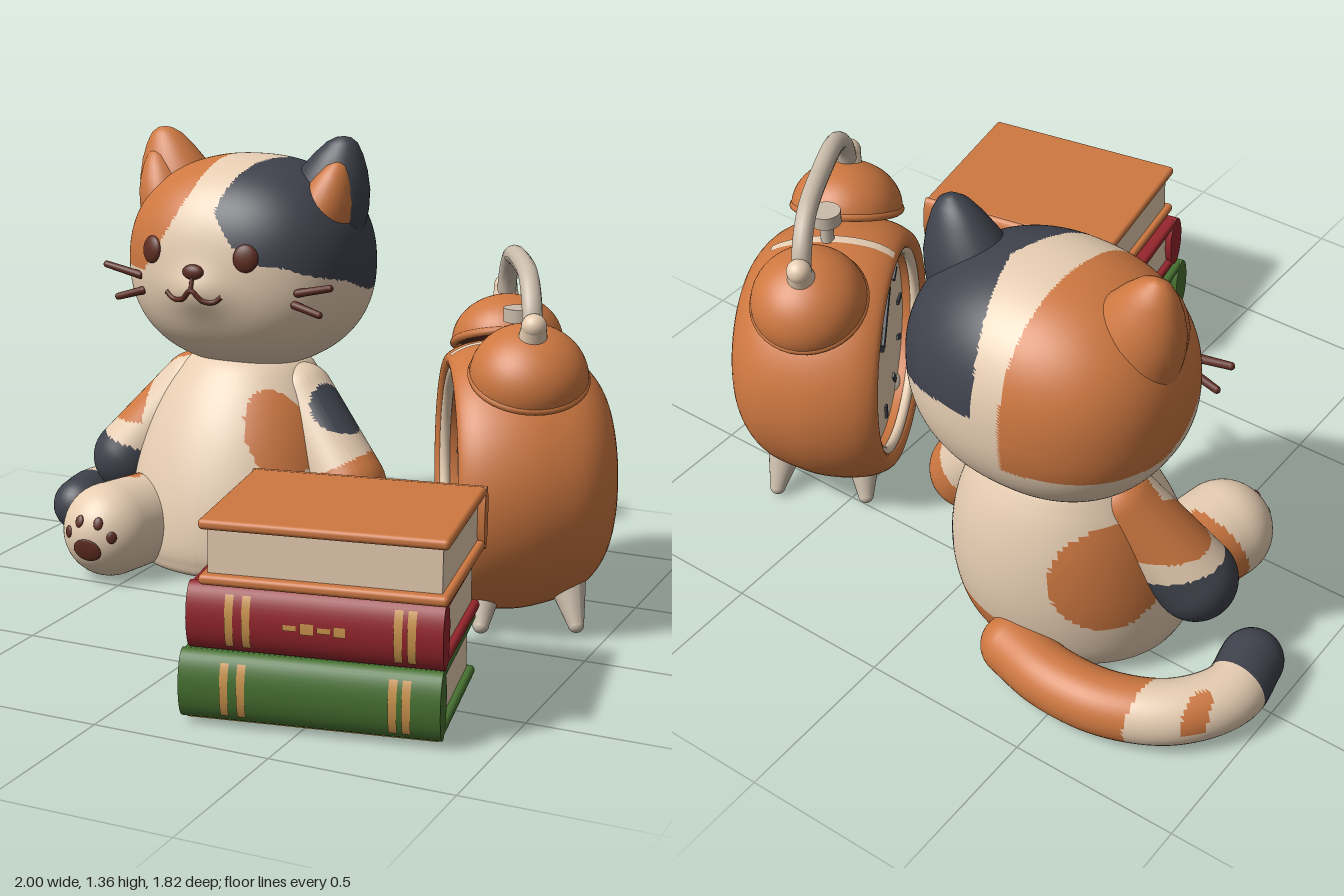
import * as THREE from 'three';
import { RoundedBoxGeometry } from 'three/addons/geometries/RoundedBoxGeometry.js';

const V = (x, y, z) => new THREE.Vector3(x, y, z);
const mat = (name, color, side = THREE.FrontSide) => {
  const m = new THREE.MeshStandardMaterial({ color, side });
  m.name = name;
  return m;
};

export function createModel() {
  const cream = mat('cream', 0xeed4b8), orange = mat('orange', 0xce7841, THREE.DoubleSide);
  const navy = mat('navy', 0x3f424c), brown = mat('brown', 0x5e2d22);
  const red = mat('red', 0x96262d), green = mat('green', 0x477231);
  const gold = mat('gold', 0xcc964e, THREE.DoubleSide), metal = mat('metal', 0xcabcab);
  const olive = mat('olive', 0xae8437);
  const coat = [cream, orange, navy];

  const add = (parent, name, geo, material, pos = [0, 0, 0], rot = [0, 0, 0]) => {
    const m = new THREE.Mesh(geo, material);
    m.name = name;
    m.position.set(...pos);
    m.rotation.set(...rot);
    parent.add(m);
    return m;
  };
  const group = (parent, name) => {
    const g = new THREE.Group();
    g.name = name;
    parent.add(g);
    return g;
  };
  // Sort triangles into coat colours: rule(centroid) returns 0 cream, 1 orange, 2 navy
  const painted = (parent, name, geo, rule) => {
    const sets = [[], [], []], p = geo.attributes.position, ix = geo.index.array;
    for (let i = 0; i < ix.length; i += 3) {
      const c = V(0, 0, 0), t = [ix[i], ix[i + 1], ix[i + 2]];
      t.forEach(k => c.add(V(p.getX(k), p.getY(k), p.getZ(k))));
      sets[rule(c.divideScalar(3))].push(...t);
    }
    geo.setIndex(sets.flat());
    geo.clearGroups();
    let start = 0;
    sets.forEach((s, i) => { if (s.length) geo.addGroup(start, s.length, i); start += s.length; });
    return add(parent, name, geo, coat);
  };
  const warp = (geo, fn) => {
    const p = geo.attributes.position, v = V(0, 0, 0);
    for (let i = 0; i < p.count; i++) { fn(v.fromBufferAttribute(p, i)); p.setXYZ(i, v.x, v.y, v.z); }
    geo.computeVertexNormals();
    return geo;
  };
  // Tapered round-ended limb from a to b
  const limb = (a, b, ra, rb, sides = 56, rows = 34) => {
    const d = b.clone().sub(a), len = d.length();
    const geo = warp(new THREE.CapsuleGeometry(1, len, 14, sides, rows), v => {
      const h = THREE.MathUtils.clamp(v.y, -len / 2, len / 2), r = THREE.MathUtils.lerp(ra, rb, h / len + 0.5);
      v.set(v.x * r, h + (v.y - h) * r, v.z * r);
    });
    geo.applyQuaternion(new THREE.Quaternion().setFromUnitVectors(V(0, 1, 0), d.normalize()));
    return geo.translate((a.x + b.x) / 2, (a.y + b.y) / 2, (a.z + b.z) / 2);
  };
  const tube = (pts, r, n = 32) => new THREE.TubeGeometry(new THREE.CatmullRomCurve3(pts), n, r, 12);
  // Flattened button lying on a surface
  const button = (parent, name, material, pos, normal, rx, ry, t = 0.007) => {
    const m = add(parent, name, new THREE.SphereGeometry(1, 20, 14).scale(rx, ry, t), material, pos.toArray());
    m.quaternion.setFromUnitVectors(V(0, 0, 1), normal.normalize());
  };

  const root = new THREE.Group();
  root.name = 'catClockAndBooks';

  // ---- Cat ----
  const cat = group(root, 'cat'), hx = -0.305;

  // Head: soft super-ellipsoid with a small muzzle bulge
  const C = V(hx, 0.95, -0.55), R = V(0.395, 0.335, 0.33), P = 2.25;
  const muzzle = (x, y) => 0.03 * Math.exp(-(((x + 0.34) / 0.1) ** 2) - ((y - 0.895) / 0.07) ** 2);
  const faceZ = (x, y) => C.z + muzzle(x, y) + R.z * Math.max(0,
    1 - Math.abs((x - C.x) / R.x) ** P - Math.abs((y - C.y) / R.y) ** P) ** (1 / P);
  const face = (x, y, lift = 0) => V(x, y, faceZ(x, y) + lift);
  const faceNormal = (x, y) => V((faceZ(x - 0.01, y) - faceZ(x + 0.01, y)) / 0.02,
    (faceZ(x, y - 0.01) - faceZ(x, y + 0.01)) / 0.02, 1);
  const headGeo = warp(new THREE.SphereGeometry(1, 190, 120), v => {
    const k = (Math.abs(v.x) ** P + Math.abs(v.y) ** P + Math.abs(v.z) ** P) ** (-1 / P);
    v.multiplyScalar(k).multiply(R).add(C);
    if (v.z > C.z) v.z += muzzle(v.x, v.y);
  });
  painted(cat, 'head', headGeo, p => {
    const front = THREE.MathUtils.smoothstep(p.z, -0.6, -0.4), mix = (a, b) => a + (b - a) * front;
    const seam = mix(-0.37, -0.38 - 0.16 * (Math.max(0, 1.27 - p.y) / 0.32) ** 1.5);
    if (p.x < seam && p.y > mix(0.84, 0.94)) return 1;
    const frontLow = 0.985 + 4 * Math.max(0, -0.1 - p.x) ** 2 - 0.35 * Math.max(0, p.x + 0.08);
    const backLow = 0.88 + 0.5 * Math.max(0, -0.68 - p.z);
    const edge = -0.2 - 0.3 * Math.abs(p.z + 0.58);
    return p.x > edge && p.y > mix(backLow, frontLow) ? 2 : 0;
  });

  // Ears: cones leaning outwards
  const earProfile = [[0.158, -0.04], [0.15, 0.04], [0.135, 0.1], [0.108, 0.16], [0.078, 0.21], [0.05, 0.245], [0.024, 0.261], [0, 0.265]]
    .map(a => new THREE.Vector2(...a));
  for (const s of [-1, 1]) {
    const ear = group(cat, s < 0 ? 'rightEar' : 'leftEar');
    ear.position.set(hx + s * 0.228, 1.092, -0.55);
    const cone = (w, h, d) => warp(new THREE.LatheGeometry(earProfile, 40).scale(w, h, d), v => { v.x += s * 0.32 * v.y; });
    add(ear, 'earShell', cone(1, 1, 0.78), s < 0 ? orange : navy);
    add(ear, 'innerEar', cone(0.7, 0.78, 0.76), orange, [s * 0.022, -0.01, 0.045]);
  }

  // Eyes, nose, mouth and whiskers
  for (const x of [-0.51, -0.175]) button(cat, 'eye', brown, face(x, 1.01), faceNormal(x, 1.01), 0.04, 0.043, 0.016);
  button(cat, 'nose', brown, face(-0.34, 0.96), V(0, 0.1, 1), 0.036, 0.024, 0.018);
  const mouth = [[-0.44, 0.89], [-0.415, 0.872], [-0.375, 0.875], [-0.34, 0.905], [-0.305, 0.875], [-0.27, 0.872], [-0.245, 0.89]];
  add(cat, 'mouth', tube(mouth.map(m => face(...m, 0.002)), 0.008), brown);
  add(cat, 'mouthLine', tube([face(-0.34, 0.95, 0.002), face(-0.34, 0.905, 0.002)], 0.007, 6), brown);
  for (const [x0, y0, x1, y1] of [[-0.57, 0.92, -0.69, 0.945], [-0.56, 0.872, -0.65, 0.845],
    [-0.03, 0.905, 0.08, 0.93], [-0.04, 0.868, 0.045, 0.845]])
    add(cat, 'whisker', limb(face(x0, y0), V(x1, y1, -0.29), 0.013, 0.011, 12, 1), brown);

  // Torso: leaning pear with patches
  const pear = [[0, 0], [0.27, 0], [0.335, 0.05], [0.355, 0.16], [0.345, 0.3], [0.305, 0.45], [0.24, 0.58], [0.16, 0.66], [0, 0.69]];
  const outline = new THREE.SplineCurve(pear.map(a => new THREE.Vector2(...a))).getPoints(80)
    .map(q => new THREE.Vector2(Math.max(0, q.x), Math.max(0, q.y)));
  const torso = warp(new THREE.LatheGeometry(outline, 110), v => v.set(v.x + hx, v.y, v.z * 0.9 - 0.425 - 0.17 * v.y));
  painted(cat, 'torso', torso, p => {
    const u = (p.x + 0.105) * 0.86 + (p.y - 0.45) * 0.5, w = (p.y - 0.45) * 0.86 - (p.x + 0.105) * 0.5;
    if (p.z > -0.45 && (u / 0.072) ** 2 + (w / 0.145) ** 2 < 1) return 1;
    if (p.distanceTo(V(0.01, 0.28, -0.61)) < 0.1) return 2;
    if (p.distanceTo(V(-0.56, 0.38, -0.65)) < 0.17) return 1;
    return p.z < -0.5 && p.x > -0.4 && p.y < 0.15 ? 1 : 0;
  });

  // Arms
  const arm = (s, name, rule) => painted(cat, name,
    limb(V(hx + s * 0.19, 0.535, -0.51), V(hx + s * 0.39, 0.285, -0.43), 0.105, 0.12), rule);
  arm(-1, 'rightArm', p => p.y < 0.36 - 0.25 * (p.x + 0.7) ? 2 : p.y > 0.42 && (p.z < -0.47 || p.x < -0.61) ? 1 : 0);
  arm(1, 'leftArm', p => p.distanceTo(V(0.04, 0.52, -0.46)) < 0.095 ? 2 : p.y < 0.33 + 0.5 * (p.x - 0.02) ? 1 : 0);

  // Legs with paw pads
  for (const s of [-1, 1]) {
    const foot = V(hx + s * 0.275, 0.143, -0.095), r = 0.147;
    painted(cat, s < 0 ? 'rightLeg' : 'leftLeg', limb(V(hx + s * 0.2, 0.14, -0.42), foot, 0.14, r),
      p => p.z < -0.13 - 0.25 * p.y && s * (p.x - hx) > 0.24 ? 1 : 0);
    for (const [x, y, w, h] of [[0, -0.03, 0.048, 0.037], [-0.076, 0.015, 0.016, 0.019], [-0.033, 0.056, 0.015, 0.02],
      [0.033, 0.056, 0.015, 0.02], [0.076, 0.015, 0.016, 0.019]]) {
      const n = V(x, y, Math.sqrt(r * r - x * x - y * y));
      button(cat, 'pawPad', brown, n.clone().add(foot), n.clone(), w, h);
    }
  }

  // Tail
  const tailPath = [V(-0.32, 0.09, -0.775), V(-0.48, 0.09, -0.812), V(-0.66, 0.09, -0.8),
    V(-0.82, 0.09, -0.72), V(-0.91, 0.09, -0.58), V(-0.895, 0.09, -0.44)];
  const streak = p => p.y > 0.09 && ((p.x + 0.9) / 0.03) ** 2 + ((p.z + 0.73) / 0.06) ** 2 < 1;
  painted(cat, 'tail', new THREE.TubeGeometry(new THREE.CatmullRomCurve3(tailPath), 90, 0.09, 36),
    p => p.z > -0.55 && p.x < -0.75 ? 2 : p.x > -0.75 || streak(p) ? 1 : 0);
  add(cat, 'tailBase', new THREE.SphereGeometry(0.09, 32, 20), orange, tailPath[0].toArray());
  add(cat, 'tailTip', new THREE.SphereGeometry(0.09, 32, 20), navy, tailPath[5].toArray());

  // ---- Alarm clock ----
  const clock = group(root, 'alarmClock');
  clock.position.set(0.68, 0, -0.345);
  clock.rotation.y = -1.1;
  const shell = [[0, -0.27], [0.14, -0.262], [0.26, -0.228], [0.345, -0.15], [0.388, -0.03], [0.398, 0.07], [0.386, 0.16],
    [0.358, 0.215], [0.33, 0.222], [0.308, 0.2], [0.305, 0.14]].map(a => new THREE.Vector2(...a));
  const shellCurve = new THREE.SplineCurve(shell).getPoints(44).map(q => new THREE.Vector2(Math.max(0, q.x), q.y));
  add(clock, 'clockBody', new THREE.LatheGeometry(shellCurve, 72).rotateX(Math.PI / 2), orange, [0, 0.415, 0]);
  add(clock, 'topStreak', new THREE.LatheGeometry(shellCurve.slice(13, 32), 4, Math.PI - 0.04, 0.08)
    .scale(1.008, 1, 1.008).rotateX(Math.PI / 2), cream, [0, 0.415, 0]);
  add(clock, 'innerRing', new THREE.TorusGeometry(0.308, 0.016, 12, 64), cream, [0, 0.415, 0.195]);
  add(clock, 'dial', new THREE.CircleGeometry(0.31, 48), cream, [0, 0.415, 0.155]);
  for (let i = 0; i < 12; i++) {
    const a = i * Math.PI / 6;
    add(clock, 'hourMark', new THREE.BoxGeometry(0.016, 0.045, 0.008), navy,
      [0.25 * Math.sin(a), 0.415 + 0.25 * Math.cos(a), 0.158], [0, 0, -a]);
  }
  for (const [a, l] of [[-0.9, 0.13], [0.7, 0.19]])
    add(clock, 'clockHand', new THREE.BoxGeometry(0.02, l, 0.009).translate(0, l / 2, 0), navy, [0, 0.415, 0.162], [0, 0, -a]);
  for (const s of [-1, 1]) {
    // Bell with its stem and knob
    const bell = group(clock, 'bell');
    bell.position.set(s * 0.235, 0.765, 0.02);
    bell.rotation.z = -s * 0.42;
    add(bell, 'bellDome', new THREE.SphereGeometry(0.168, 40, 16, 0, Math.PI * 2, 0, Math.PI / 2).scale(1, 0.85, 1), orange);
    add(bell, 'bellRim', new THREE.TorusGeometry(0.16, 0.013, 10, 40).rotateX(Math.PI / 2), orange);
    add(bell, 'bellInside', new THREE.CircleGeometry(0.158, 36).rotateX(Math.PI / 2), brown, [0, 0.005, 0]);
    add(bell, 'bellStem', new THREE.CylinderGeometry(0.03, 0.035, 0.14, 20), metal, [0, -0.06, 0]);
    add(bell, 'bellKnob', new THREE.CylinderGeometry(0.034, 0.042, 0.05, 20), cream, [0, 0.15, 0]);
    add(bell, 'knobCap', new THREE.SphereGeometry(0.036, 20, 14), cream, [0, 0.172, 0]);
    // Splayed feet
    for (const z of [-0.12, 0.12])
      add(clock, 'clockFoot', limb(V(s * 0.17, 0.13, z), V(s * 0.235, 0.026, z * 1.15), 0.055, 0.024, 24, 4), metal);
  }
  add(clock, 'handle', tube([V(-0.285, 0.89, 0.02), V(-0.255, 0.97, 0.02), V(-0.18, 1.035, 0.02), V(0, 1.055, 0.02),
    V(0.18, 1.035, 0.02), V(0.255, 0.97, 0.02), V(0.285, 0.89, 0.02)], 0.029, 48), metal);
  add(clock, 'hammerStem', new THREE.CylinderGeometry(0.02, 0.02, 0.12, 16), metal, [0, 0.84, 0.02]);
  add(clock, 'hammerHead', new THREE.CylinderGeometry(0.045, 0.045, 0.04, 24), metal, [0, 0.895, 0.02]);

  // ---- Books ----
  const books = group(root, 'bookStack');
  const book = (name, cover, x, z, y0, h, w, turn, round, bands) => {
    const g = group(books, name), t = 0.028, back = 0.27 - round;
    g.position.set(x, y0 + h / 2, z);
    g.rotation.y = turn;
    for (const s of [-1, 1])
      add(g, 'cover', new RoundedBoxGeometry(w, t, back + 0.26, 3, 0.012), cover, [0, s * (h - t) / 2, back / 2 - 0.13]);
    add(g, 'pages', new THREE.BoxGeometry(w - 0.04, h - 2 * t + 0.004, back + 0.235), cream, [0, 0, back / 2 - 0.1175]);
    // Rounded spine and its gilt bands
    const spine = (len, grow, a) => new THREE.CylinderGeometry(1, 1, len, 40, 1, a < 3, -a, 2 * a)
      .rotateZ(Math.PI / 2).scale(1, h / 2 + grow, round + grow);
    add(g, 'spine', spine(w, 0, Math.PI), cover, [0, 0, back]);
    for (const [bx, len, a] of bands) add(g, 'giltBand', spine(len, 0.003, a), gold, [bx, 0, back]);
    return g;
  };
  const title = [[-0.06, 0.035, 0.08], [-0.015, 0.035, 0.16], [0.03, 0.035, 0.08], [0.07, 0.03, 0.14]];
  const bands = [-0.22, -0.175, 0.22, 0.255].map(x => [x, 0.022, 0.85]);
  const lower = book('greenBook', green, 0.485, 0.585, 0.012, 0.185, 0.685, 0.19, 0.045, bands);
  add(lower, 'underside', new THREE.BoxGeometry(0.66, 0.006, 0.47), olive, [0, -0.0935, -0.01]);
  book('redBook', red, 0.495, 0.57, 0.197, 0.18, 0.67, 0.18, 0.045, [...bands, ...title]);
  book('orangeBook', orange, 0.52, 0.575, 0.377, 0.175, 0.65, 0.17 + Math.PI, 0.025, []);

  return root;
}
